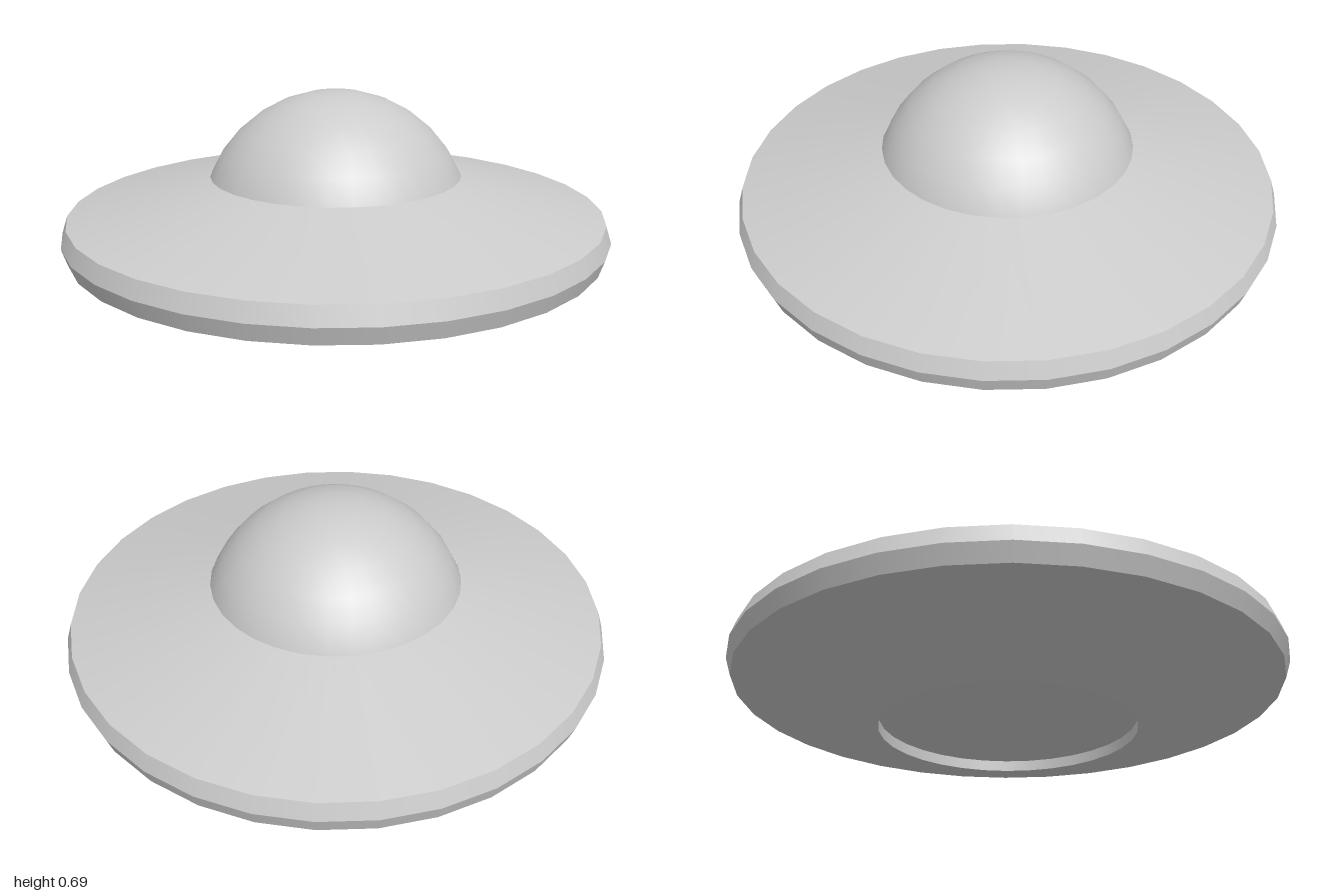
import * as THREE from 'three';

const SEGMENTS = 32;

export function createModel() {
  const model = new THREE.Group();
  model.name = 'flyingSaucer';
  const material = new THREE.MeshStandardMaterial({ color: 0xcccccc });

  function add(name, geometry) {
    const mesh = new THREE.Mesh(geometry, material);
    mesh.name = name;
    model.add(mesh);
    return mesh;
  }

  // Hull profile as [radius, height], from the recess floor outwards and up;
  // one band per step keeps the creases sharp and the sides smooth
  const profile = [
    [0, 0.04], [0.462, 0.04], [0.462, 0], [0.98, 0.133],
    [1, 0.194], [0.98, 0.256], [0.462, 0.386],
  ].map(([r, y]) => new THREE.Vector2(r, y));
  const bands = ['recessFloor', 'recessWall', 'lowerHull', 'lowerRim', 'upperRim', 'upperHull'];
  bands.forEach((name, i) => {
    add(name, new THREE.LatheGeometry([profile[i], profile[i + 1]], SEGMENTS));
  });

  // Dome: cap of a sphere centred at the height of the rim
  const dome = new THREE.SphereGeometry(0.5, SEGMENTS, 6, 0, Math.PI * 2, 0, Math.PI * 0.375);
  add('dome', dome).position.y = 0.194;

  return model;
}
